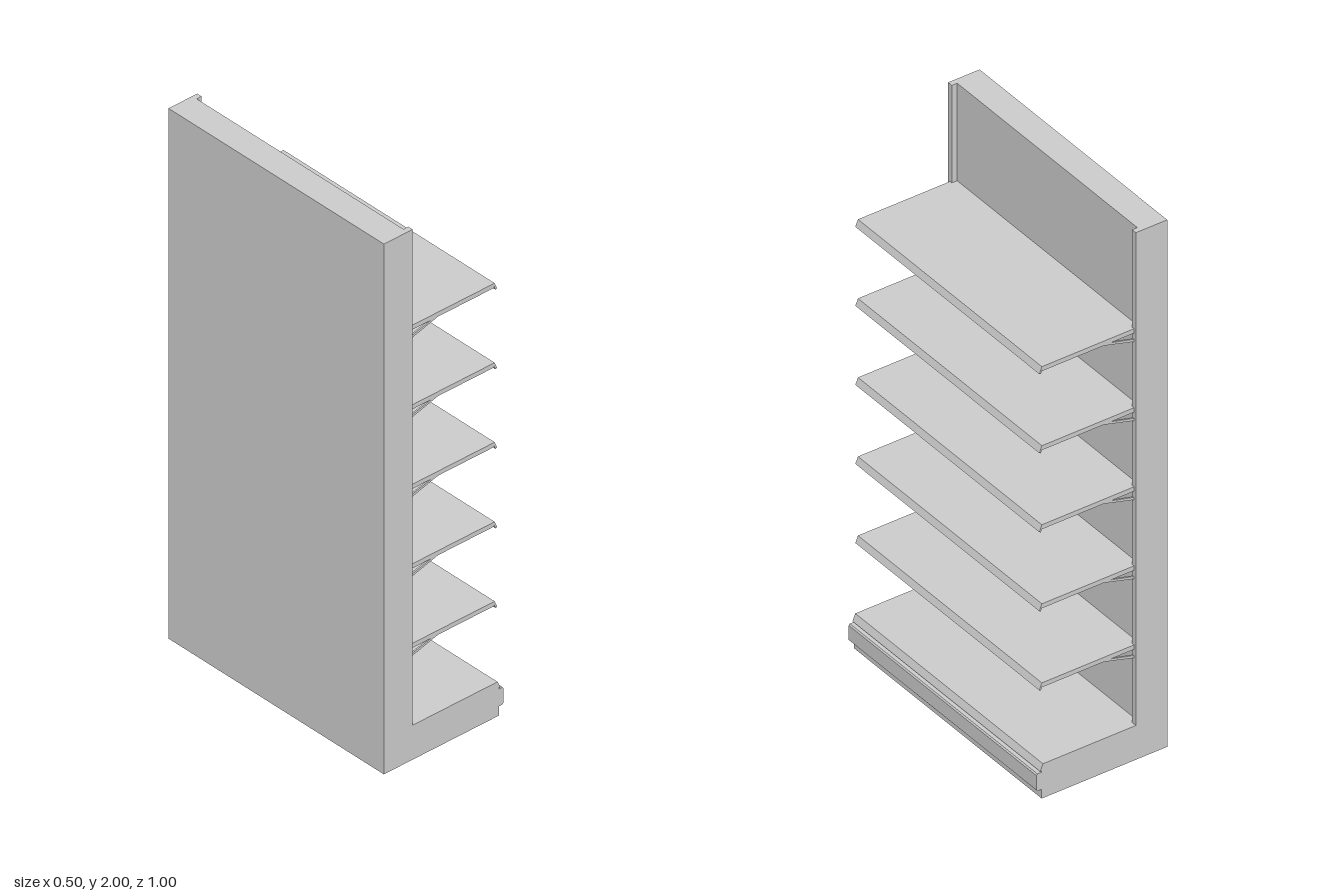
import * as THREE from 'three';

const grey = new THREE.MeshStandardMaterial({ color: 0xcccccc, flatShading: true });

function box(name, x0, x1, y0, y1, z0, z1) {
  const mesh = new THREE.Mesh(new THREE.BoxGeometry(x1 - x0, y1 - y0, z1 - z0), grey);
  mesh.position.set((x0 + x1) / 2, (y0 + y1) / 2, (z0 + z1) / 2);
  mesh.name = name;
  return mesh;
}

// Side profile in x and y, extruded along z
function profile(name, points, z0, z1) {
  const shape = new THREE.Shape(points.map(([x, y]) => new THREE.Vector2(x, y)));
  const geometry = new THREE.ExtrudeGeometry(shape, { depth: z1 - z0, bevelEnabled: false });
  geometry.translate(0, 0, z0);
  const mesh = new THREE.Mesh(geometry, grey);
  mesh.name = name;
  return mesh;
}

// Folded sheet shelf, its top surface at y = 0
function createShelf() {
  const shelf = new THREE.Group();
  shelf.name = 'shelf';
  shelf.add(profile('shelfSheet', [
    [-0.15, 0], [0.222, 0], [0.232, -0.024], [0.226, -0.027], [0.217, -0.005], [-0.15, -0.005],
  ], -0.49, 0.49));
  for (const side of [-1, 1]) {
    const z = side * 0.4875;
    shelf.add(box('shelfSideLip', -0.15, 0.219, -0.017, -0.004, z - 0.0025, z + 0.0025));
    // Sloping support under each end
    shelf.add(profile('shelfBracket', [
      [-0.14, -0.053], [0.0, -0.014], [-0.02, -0.012], [-0.14, -0.043],
    ], side * 0.486 - 0.003, side * 0.486 + 0.003));
  }
  return shelf;
}

export function createModel() {
  const model = new THREE.Group();
  model.name = 'shelvingUnit';

  // Back wall and corner uprights
  model.add(box('backPanel', -0.25, -0.15, 0, 2, -0.5, 0.5));
  for (const side of [-1, 1]) {
    model.add(box('upright', -0.15, -0.13, 0.13, 2, side * 0.49 - 0.01, side * 0.49 + 0.01));
  }

  // Base plinth with a sloped front lip
  model.add(profile('base', [
    [-0.15, 0], [0.23, 0], [0.23, 0.105], [0.236, 0.105], [0.225, 0.13], [-0.15, 0.13],
  ], -0.5, 0.5));

  // Bumper rail with softened corners
  model.add(profile('bumper', [
    [0.23, 0.035], [0.246, 0.035], [0.25, 0.04], [0.25, 0.095], [0.246, 0.1], [0.23, 0.1],
  ], -0.5, 0.5));

  for (let i = 0; i < 5; i++) {
    const shelf = createShelf();
    shelf.position.y = 0.43 + i * 0.3;
    model.add(shelf);
  }
  return model;
}
